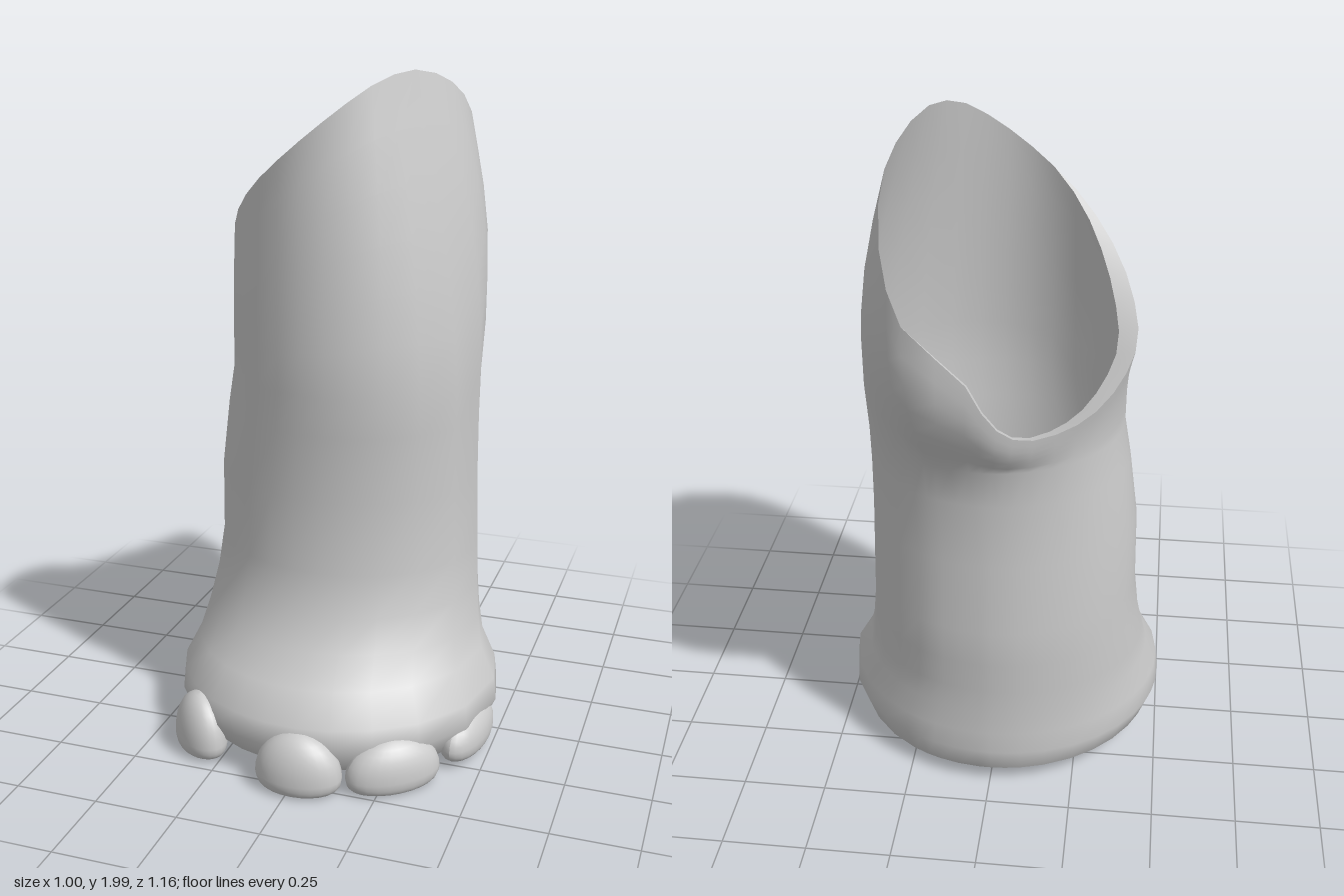
import * as THREE from 'three';

const COLS = 32;
const material = new THREE.MeshStandardMaterial({ color: 0xcccccc, side: THREE.DoubleSide });

// Leg rings from sole to thigh: y, xMin, xMax, zMin, zMax
const RINGS = [
  [0.04, -0.44, 0.425, -0.38, 0.44],
  [0.065, -0.475, 0.46, -0.412, 0.48],
  [0.13, -0.5, 0.495, -0.418, 0.51],
  [0.2, -0.492, 0.487, -0.414, 0.502],
  [0.28, -0.457, 0.437, -0.412, 0.427],
  [0.36, -0.442, 0.417, -0.412, 0.352],
  [0.46, -0.424, 0.404, -0.417, 0.307],
  [0.58, -0.412, 0.397, -0.42, 0.272],
  [0.8, -0.407, 0.392, -0.404, 0.267],
  [1.0, -0.38, 0.392, -0.4, 0.272],
  [1.12, -0.36, 0.392, -0.42, 0.284],
];

// Slanted, flared open rim, starting at the pointed back corner
const RIM = new THREE.CatmullRomCurve3([
  [0.19, 1.62, -0.58], [0.25, 1.76, -0.5], [0.28, 1.89, -0.3], [0.255, 1.965, -0.15],
  [0.2, 2.0, 0.02], [0.13, 1.97, 0.15], [0.03, 1.89, 0.225], [-0.08, 1.8, 0.24],
  [-0.2, 1.7, 0.19], [-0.3, 1.6, 0.08], [-0.365, 1.5, -0.05], [-0.385, 1.41, -0.16],
  [-0.35, 1.33, -0.23], [-0.28, 1.27, -0.32], [-0.19, 1.24, -0.39], [-0.09, 1.25, -0.46],
  [-0.02, 1.32, -0.51], [0.05, 1.46, -0.54],
].map((p) => new THREE.Vector3(...p)), true);

const rimPoints = Array.from({ length: COLS }, (_, i) => RIM.getPoint(i / COLS));
const angles = rimPoints.map((p) => Math.atan2(p.z + 0.08, p.x));

function ringPoint([y, x0, x1, z0, z1], a) {
  const x = (x0 + x1) / 2 + ((x1 - x0) / 2) * Math.cos(a);
  const z = (z0 + z1) / 2 + ((z1 - z0) / 2) * Math.sin(a);
  return new THREE.Vector3(x, y - (y < 0.1 ? 0.025 * x : 0), z);
}

// 1 facing the given angle, fading to 0 at the sides
const facing = (a, target) => Math.max(0, Math.cos(a - target));

// Joins closed rows of points into a smooth skin
function loft(rows) {
  const index = [];
  for (let r = 0; r < rows.length - 1; r++) {
    for (let i = 0; i < COLS; i++) {
      const a = r * COLS + i, b = r * COLS + ((i + 1) % COLS);
      index.push(a, a + COLS, b, b, a + COLS, b + COLS);
    }
  }
  const geometry = new THREE.BufferGeometry().setFromPoints(rows.flat());
  geometry.setIndex(index);
  geometry.computeVertexNormals();
  return geometry;
}

// Rounded nail: flat, squarish base, domed above
function toeGeometry(halfWidth, height, depth) {
  const geometry = new THREE.SphereGeometry(1, 24, 16);
  const pos = geometry.attributes.position;
  const base = 0.045;
  for (let i = 0; i < pos.count; i++) {
    const y = pos.getY(i);
    const spread = y < 0 ? Math.pow(Math.max(1 - y * y, 0.001), -0.38) : 1;
    pos.setXYZ(i, pos.getX(i) * halfWidth * spread,
      base + y * (y > 0 ? height - base : base),
      pos.getZ(i) * depth * spread);
  }
  geometry.computeVertexNormals();
  return geometry;
}

export function createModel() {
  const group = new THREE.Group();
  const add = (name, geometry) => {
    const mesh = new THREE.Mesh(geometry, material);
    mesh.name = name;
    group.add(mesh);
    return mesh;
  };

  // Leg skin: rings, then rows that stretch up to the rim,
  // bulging at the back right and flaring late at the low lip
  const rows = RINGS.map((ring) => angles.map((a) => ringPoint(ring, a)));
  const top = rows[rows.length - 1];
  const steps = 6;
  for (let s = 1; s <= steps; s++) {
    const u = s / steps;
    rows.push(top.map((p, i) => {
      const a = angles[i];
      const e = Math.pow(u, 1.2 + 0.3 * Math.sin(a) + 0.9 * facing(a, 3.5));
      const bulge = 0.06 * Math.sin(Math.PI * u) * facing(a, -0.8) ** 2;
      const point = p.clone().lerp(rimPoints[i], e);
      point.x += bulge * Math.cos(a);
      point.z += bulge * Math.sin(a);
      point.y = THREE.MathUtils.lerp(p.y, rimPoints[i].y, u);
      return point;
    }));
  }
  add('leg', loft(rows));

  // Narrow lip folded inwards along the low side of the rim
  const lip = rimPoints.map((p, i) => {
    const w = 0.055 * facing(angles[i], 3.5);
    return new THREE.Vector3(p.x - w * Math.cos(angles[i]), p.y - 0.3 * w, p.z - w * Math.sin(angles[i]));
  });
  add('rimLip', loft([rimPoints, lip]));

  // Sole closing the foot
  const centre = new THREE.Vector3(0, 0.04, 0.03);
  add('sole', loft([rows[0].map(() => centre), rows[0]]));

  // Toes: x, z, turn, half width, height, depth, lift
  [
    [-0.33, 0.39, -0.75, 0.112, 0.18, 0.07, 0.015],
    [0.02, 0.495, 0, 0.13, 0.175, 0.083, 0.01],
    [0.275, 0.4, 0.69, 0.145, 0.155, 0.075, 0.01],
    [0.43, 0.135, 1.47, 0.155, 0.13, 0.067, 0.027],
  ].forEach(([x, z, turn, w, h, d, lift], i) => {
    const toe = add(`toe${i + 1}`, toeGeometry(w, h, d));
    toe.position.set(x, lift, z);
    toe.rotation.y = turn;
  });

  return group;
}
